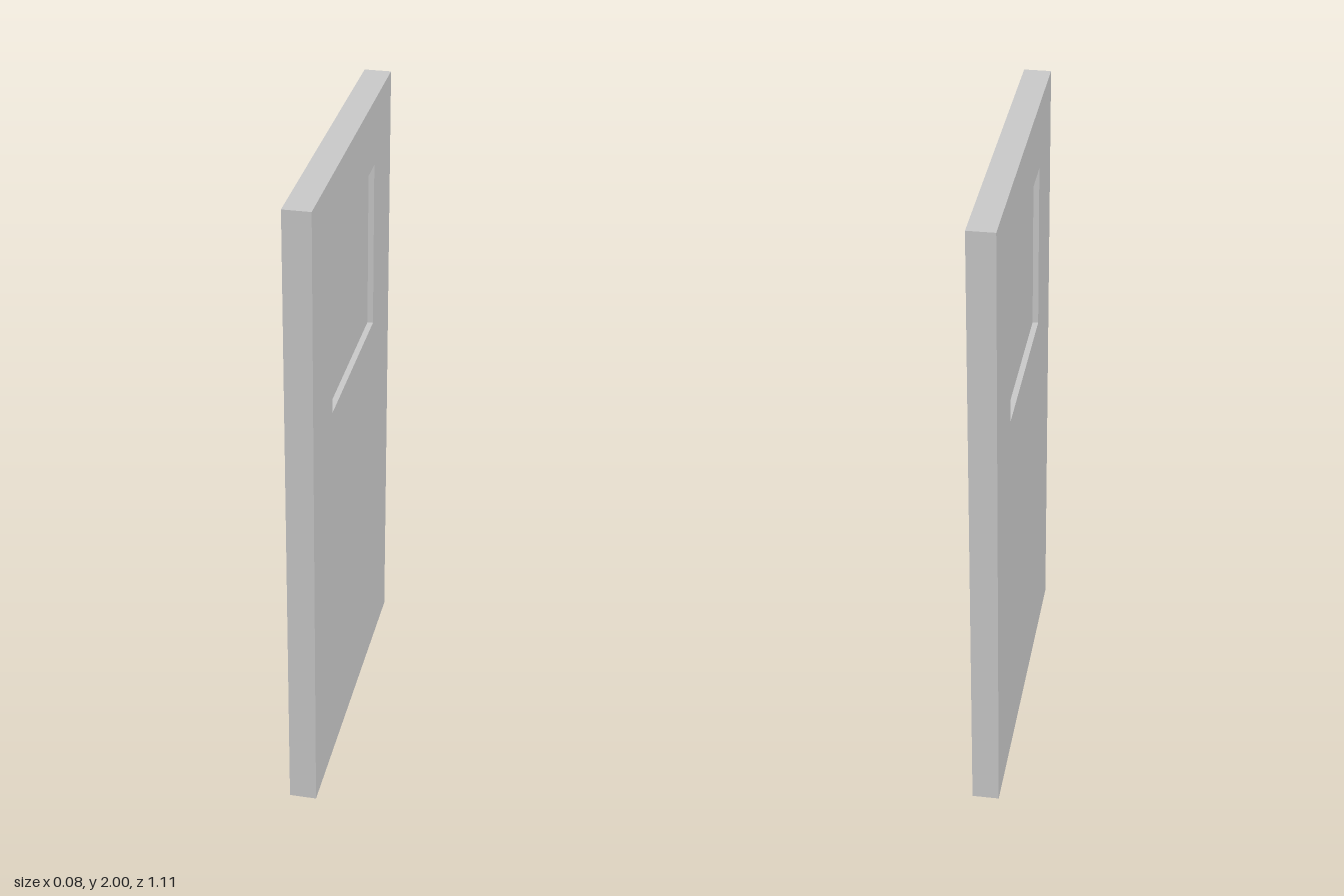
import * as THREE from 'three';

const HEIGHT = 2, WIDTH = 1.11, THICKNESS = 0.084;
const WINDOW = { bottom: 1.25, top: 1.79, width: 0.6, recess: 0.018 };

// Adds a closed rectangle, centred on x = 0, to a shape or path
function rectangle(path, width, bottom, top) {
  const h = width / 2;
  path.moveTo(-h, bottom);
  path.lineTo(h, bottom);
  path.lineTo(h, top);
  path.lineTo(-h, top);
  path.closePath();
  return path;
}

export function createModel() {
  const group = new THREE.Group();
  group.name = 'door';
  const material = new THREE.MeshStandardMaterial({ color: 0xcccccc });

  // Door slab with a window opening, turned so its faces look along x
  const outline = rectangle(new THREE.Shape(), WIDTH, 0, HEIGHT);
  outline.holes.push(rectangle(new THREE.Path(), WINDOW.width, WINDOW.bottom, WINDOW.top));
  const slabGeometry = new THREE.ExtrudeGeometry(outline, { depth: THICKNESS, bevelEnabled: false });
  slabGeometry.translate(0, 0, -THICKNESS / 2);
  slabGeometry.rotateY(Math.PI / 2);
  const slab = new THREE.Mesh(slabGeometry, material);
  slab.name = 'doorSlab';
  group.add(slab);

  // Window pane, set back from both faces; only its two broad sides show
  for (const side of [-1, 1]) {
    const pane = new THREE.Mesh(
      new THREE.PlaneGeometry(WINDOW.width, WINDOW.top - WINDOW.bottom), material);
    pane.name = side > 0 ? 'windowPaneLeft' : 'windowPaneRight';
    pane.rotation.y = side * Math.PI / 2;
    pane.position.set(side * (THICKNESS / 2 - WINDOW.recess), (WINDOW.bottom + WINDOW.top) / 2, 0);
    group.add(pane);
  }
  return group;
}
